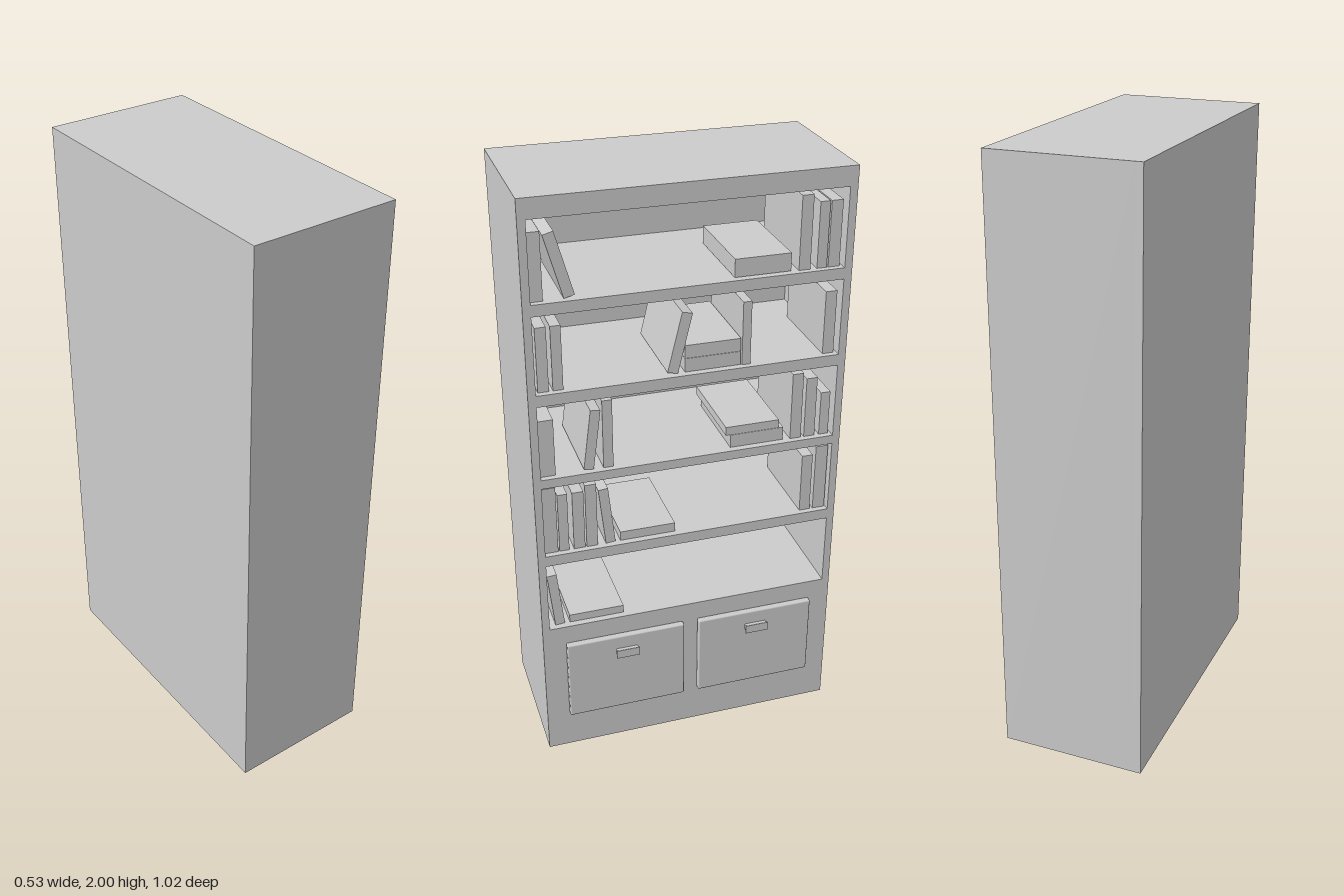
import * as THREE from 'three';
import { RoundedBoxGeometry } from 'three/addons/geometries/RoundedBoxGeometry.js';

const material = new THREE.MeshStandardMaterial({ color: 0xcccccc });

function add(parent, name, geometry, x = 0, y = 0, z = 0) {
  const mesh = new THREE.Mesh(geometry, material);
  mesh.name = name;
  mesh.position.set(x, y, z);
  parent.add(mesh);
  return mesh;
}

function rect(target, x0, y0, x1, y1) {
  target.moveTo(x0, y0);
  target.lineTo(x1, y0);
  target.lineTo(x1, y1);
  target.lineTo(x0, y1);
  target.closePath();
  return target;
}

const BACK = -0.265, FRONT = 0.22, PANEL = 0.025;
const OPENING = 0.254, BOOK_DEPTH = 0.3, BOOK_X = 0.05;

// Each shelf: floor height, upright books [z, thickness, height, lean],
// flat books stacked upward [z, length, thickness]
const shelves = [
  { floor: 1.683,
    upright: [[0.463, 0.037, 0.21], [0.394, 0.034, 0.205, 0.27], [-0.362, 0.037, 0.235],
      [-0.418, 0.032, 0.21], [-0.457, 0.037, 0.21]],
    stacks: [[[-0.228, 0.18, 0.058]]] },
  { floor: 1.392,
    upright: [[0.458, 0.034, 0.21], [0.413, 0.032, 0.21], [0.032, 0.034, 0.2, -0.235],
      [-0.183, 0.028, 0.21], [-0.457, 0.037, 0.21]],
    stacks: [[[-0.074, 0.18, 0.045], [-0.074, 0.18, 0.043]]] },
  { floor: 1.1,
    upright: [[0.458, 0.048, 0.195], [0.315, 0.032, 0.205, -0.13], [0.265, 0.032, 0.235],
      [-0.362, 0.037, 0.232], [-0.41, 0.037, 0.21], [-0.46, 0.032, 0.152]],
    stacks: [[[-0.228, 0.18, 0.045], [-0.212, 0.18, 0.029]]] },
  { floor: 0.815,
    upright: [[0.46, 0.043, 0.24], [0.418, 0.032, 0.21], [0.368, 0.037, 0.21], [0.326, 0.037, 0.23],
      [0.275, 0.032, 0.205, 0.1], [-0.41, 0.037, 0.21], [-0.46, 0.042, 0.238]],
    stacks: [[[0.14, 0.185, 0.032]]] },
  { floor: 0.524,
    upright: [[0.455, 0.032, 0.2, 0.1]],
    stacks: [[[0.32, 0.185, 0.028]]] },
];

// Carcass: one slab pierced by the shelf openings, closed by a back panel
function addCarcass(parent) {
  const face = rect(new THREE.Shape(), -0.51, 0.016, 0.51, 2);
  for (const { floor } of shelves) {
    face.holes.push(rect(new THREE.Path(), -0.485, floor, 0.485, floor + OPENING));
  }
  const frame = new THREE.ExtrudeGeometry(face, { depth: FRONT - BACK - PANEL, bevelEnabled: false });
  frame.rotateY(Math.PI / 2);
  add(parent, 'carcass', frame, BACK + PANEL);
  add(parent, 'backPanel', new THREE.BoxGeometry(PANEL, 1.984, 1.02), BACK + PANEL / 2, 1.008);
}

function addBooks(parent) {
  for (const { floor, upright, stacks } of shelves) {
    const row = new THREE.Group();
    row.name = 'shelfBooks';
    row.position.y = floor;
    parent.add(row);
    for (const [z, t, h, lean = 0] of upright) {
      // Lift a leaning book so that its lowest corner rests on the shelf
      const y = (h * Math.cos(lean) + t * Math.sin(Math.abs(lean))) / 2;
      const book = add(row, 'uprightBook', new THREE.BoxGeometry(BOOK_DEPTH, h, t), BOOK_X, y, z);
      book.rotation.x = lean;
    }
    for (const stack of stacks) {
      let y = 0.002;
      for (const [z, length, t] of stack) {
        add(row, 'flatBook', new THREE.BoxGeometry(BOOK_DEPTH, t, length), BOOK_X, y + t / 2, z);
        y += t + 0.001;
      }
    }
  }
}

// Drawer front with a pull that flares toward its outer edge
function addDrawer(parent, z) {
  const drawer = new THREE.Group();
  drawer.name = 'drawer';
  drawer.position.z = z;
  parent.add(drawer);
  add(drawer, 'drawerFront', new RoundedBoxGeometry(0.023, 0.3, 0.408, 2, 0.005), 0.2325, 0.31);

  const profile = new THREE.Shape([[0.24, -0.01], [0.25, -0.009], [0.262, -0.015], [0.265, -0.015],
    [0.265, 0.015], [0.262, 0.015], [0.25, 0.009], [0.24, 0.01]]
    .map(([x, y]) => new THREE.Vector2(x, y)));
  const pull = new THREE.ExtrudeGeometry(profile, { depth: 0.074, bevelEnabled: false });
  add(drawer, 'drawerPull', pull, 0, 0.402, -0.037);
  add(drawer, 'pullLip', new THREE.BoxGeometry(0.003, 0.031, 0.08), 0.2635, 0.402);
}

export function createModel() {
  const model = new THREE.Group();
  model.name = 'bookcase';
  addCarcass(model);
  addBooks(model);
  for (const side of [1, -1]) {
    addDrawer(model, side * 0.23);
    // Feet
    for (const x of [-0.21, 0.16]) {
      add(model, 'foot', new THREE.BoxGeometry(0.05, 0.018, 0.05), x, 0.009, side * 0.46);
    }
  }
  return model;
}
